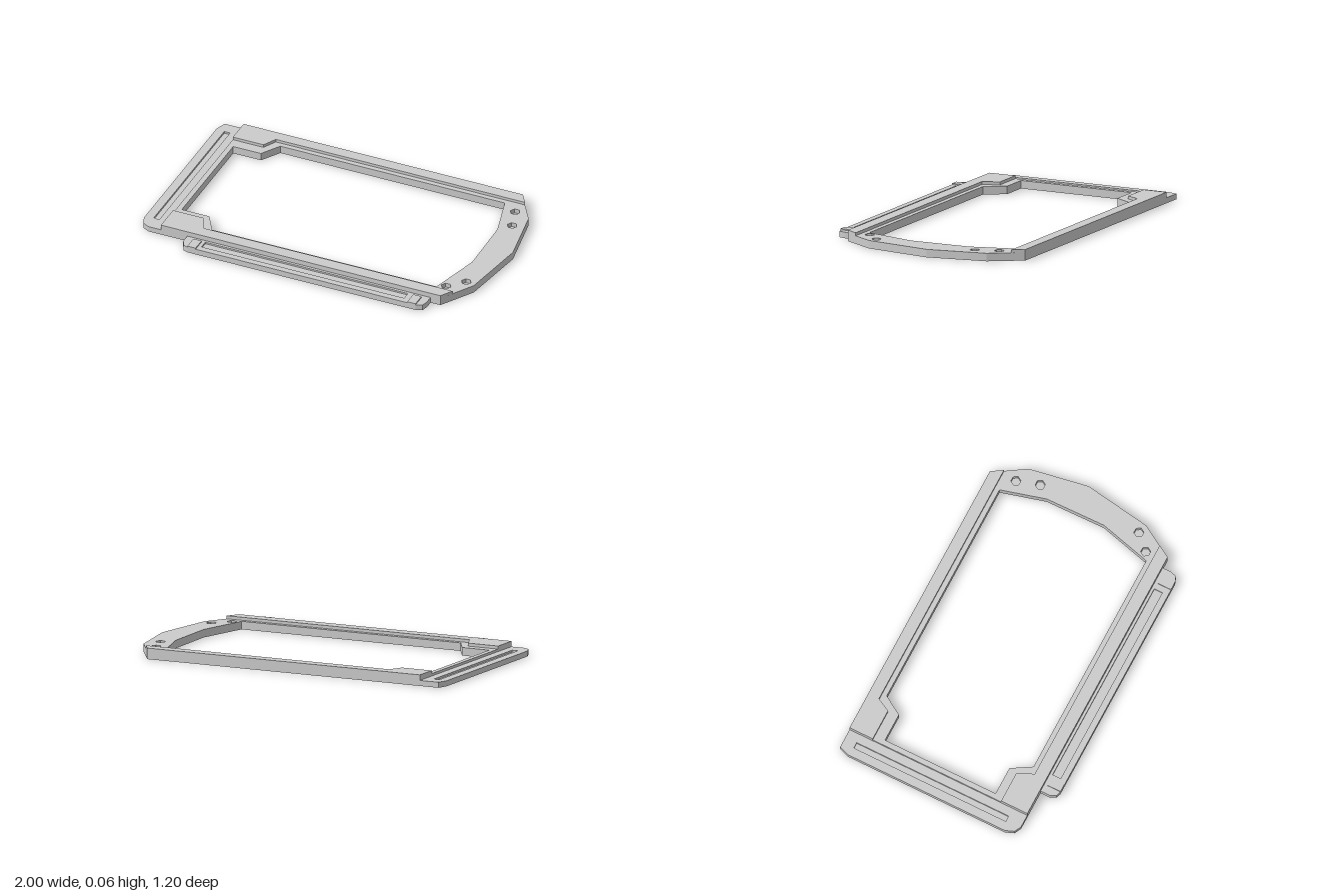
import * as THREE from 'three';

const material = new THREE.MeshStandardMaterial({ color: 0xcccccc, flatShading: true });

// Points are [x, z] as seen from above; the winding is set here.
function toVectors(points, clockwise) {
  const vectors = points.map(([x, z]) => new THREE.Vector2(x, -z));
  return THREE.ShapeUtils.isClockWise(vectors) === clockwise ? vectors : vectors.reverse();
}

// Flat plate between two heights, with optional openings.
function plate(name, outline, bottom, top, holes = []) {
  const shape = new THREE.Shape(toVectors(outline, false));
  for (const hole of holes) shape.holes.push(new THREE.Path(toVectors(hole, true)));
  const geometry = new THREE.ExtrudeGeometry(shape, { depth: top - bottom, bevelEnabled: false });
  geometry.rotateX(-Math.PI / 2).translate(0, bottom, 0);
  const mesh = new THREE.Mesh(geometry, material);
  mesh.name = name;
  return mesh;
}

const rect = (x0, x1, z0, z1) => [[x0, z0], [x1, z0], [x1, z1], [x0, z1]];

function hexagon(x, z, r) {
  return Array.from({ length: 6 }, (_, i) => {
    const a = (i * Math.PI) / 3;
    return [x + r * Math.cos(a), z + r * Math.sin(a)];
  });
}

export function createModel() {
  const group = new THREE.Group();
  group.name = 'bezelFrame';

  const seam = -0.865;
  const bowedEnd = [[0.824, -0.6], [0.94, -0.42], [1, -0.08], [0.94, 0.31], [0.824, 0.5]];
  const squareEnd = [[-0.94, 0.5], [-0.98, 0.48], [-1, 0.43], [-1, -0.54], [-0.98, -0.6]];
  const opening = [
    [-0.835, -0.396], [-0.668, -0.396], [-0.6, -0.506], [0.757, -0.506], [0.828, -0.25],
    [0.835, 0.1], [0.757, 0.402], [-0.6, 0.402], [-0.668, 0.288], [-0.835, 0.288],
  ];

  // Base ring, closed from below
  group.add(plate('baseRing', [...bowedEnd, ...squareEnd], 0, 0.02, [opening]));

  // Main deck with hexagonal sockets in the bowed end
  const sockets = [[0.845, -0.45], [0.886, -0.32], [0.886, 0.29], [0.803, 0.375]]
    .map(([x, z]) => hexagon(x, z, 0.028));
  group.add(plate('deck', [...bowedEnd, [seam, 0.5], [seam, -0.6]], 0.02, 0.045, [opening, ...sockets]));

  // Lower end strip with a long groove
  group.add(plate('endStrip', [[seam, 0.5], ...squareEnd, [seam, -0.6]], 0.02, 0.031,
    [rect(-0.95, -0.915, -0.53, 0.41)]));

  // Raised rails with a wide pad beside the end strip
  group.add(plate('backRail', [
    [seam, -0.6], [0.824, -0.6], [0.866, -0.534], [-0.64, -0.534], [-0.68, -0.457], [seam, -0.457],
  ], 0.045, 0.062));
  group.add(plate('frontRail', [
    [seam, 0.5], [0.824, 0.5], [0.866, 0.43], [-0.64, 0.43], [-0.68, 0.338], [seam, 0.338],
  ], 0.045, 0.062));

  // Front side strip with rounded corners, groove and two tabs
  const side = [
    [-0.705, 0.5], [-0.705, 0.555], [-0.688, 0.59], [-0.66, 0.6],
    [0.72, 0.6], [0.755, 0.587], [0.765, 0.55], [0.765, 0.5],
  ];
  group.add(plate('sideStripBase', side, 0, 0.024));
  group.add(plate('sideStripTop', side, 0.024, 0.034, [rect(-0.59, 0.635, 0.515, 0.565)]));
  for (const x of [-0.66, 0.67]) {
    group.add(plate('sideStripTab', rect(x, x + 0.05, 0.52, 0.6), 0.034, 0.041));
  }

  return group;
}
